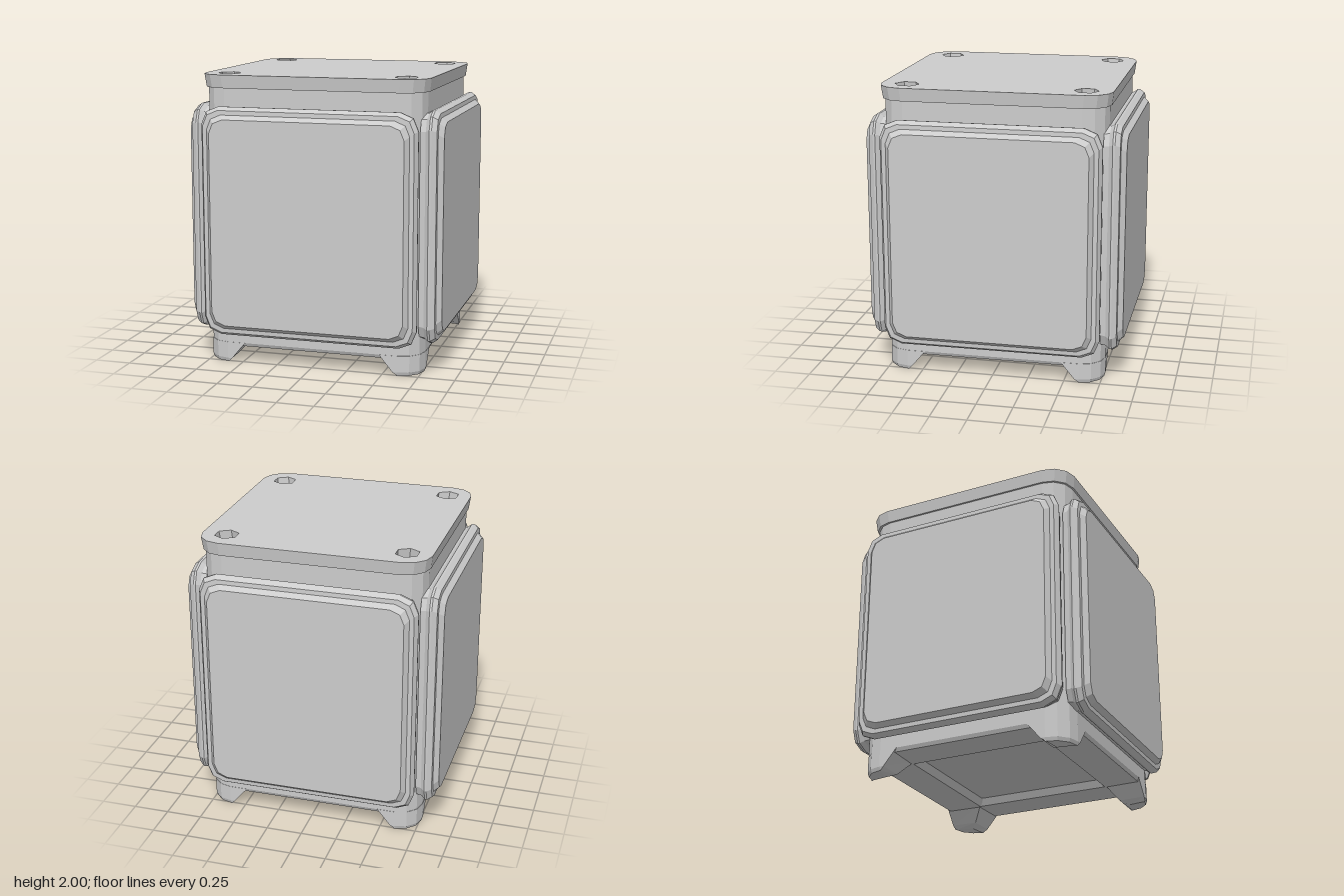
import * as THREE from 'three';

const metal = new THREE.MeshStandardMaterial({ color: 0xcccccc });
metal.name = 'lightGrey';

// Outline of a rectangle with faceted round corners, counter-clockwise
function roundedRect(w, h, r, segs) {
  const pts = [];
  [[1, 1], [-1, 1], [-1, -1], [1, -1]].forEach(([sx, sy], q) => {
    for (let i = 0; i <= segs; i++) {
      const a = (q + i / segs) * Math.PI / 2;
      pts.push([sx * (w - r) + r * Math.cos(a), sy * (h - r) + r * Math.sin(a)]);
    }
  });
  return pts;
}

// Skins a stack of outlines along z, closes both ends and gives flat faces
function loft(levels) {
  const pos = [];
  const rings = levels.map(([pts, z]) => pts.map(([x, y]) => [x, y, z]));
  const n = rings[0].length;
  const centre = ring => ring.reduce((s, p) => s.map((v, k) => v + p[k] / n), [0, 0, 0]);
  const first = rings[0], last = rings[rings.length - 1];
  const c0 = centre(first), c1 = centre(last);
  for (let i = 0; i < n; i++) {
    const j = (i + 1) % n;
    for (let k = 0; k + 1 < rings.length; k++) {
      const a = rings[k], b = rings[k + 1];
      pos.push(...a[i], ...a[j], ...b[j], ...a[i], ...b[j], ...b[i]);
    }
    pos.push(...c0, ...first[j], ...first[i], ...c1, ...last[i], ...last[j]);
  }
  const g = new THREE.BufferGeometry();
  g.setAttribute('position', new THREE.Float32BufferAttribute(pos, 3));
  g.computeVertexNormals();
  return g;
}

export function createModel() {
  const model = new THREE.Group();
  model.name = 'crate';
  const add = (name, geo) => {
    const mesh = new THREE.Mesh(geo, metal);
    mesh.name = name;
    model.add(mesh);
    return mesh;
  };

  // Core box with a shallow recess underneath
  const square = (s, r) => roundedRect(s, s, r, 3);
  add('body', loft([
    [square(0.47, 0.01), 0.165],
    [square(0.5, 0.01), 0.115],
    [square(0.752, 0.15), 0.115],
    [square(0.765, 0.16), 0.14],
    [square(0.765, 0.16), 1.925],
  ]).rotateX(-Math.PI / 2));

  // Lid with four hexagonal bolt holes, narrowing towards its underside
  const lidShape = new THREE.Shape(square(0.79, 0.17).map(p => new THREE.Vector2(...p)));
  for (const sx of [-1, 1]) for (const sy of [-1, 1]) {
    const hex = [];
    for (let i = 0; i < 6; i++) {
      const a = Math.PI / 6 + i * Math.PI / 3;
      hex.push(new THREE.Vector2(sx * 0.62 + 0.083 * Math.cos(a), sy * 0.61 + 0.083 * Math.sin(a)));
    }
    lidShape.holes.push(new THREE.Path(hex));
  }
  const lid = new THREE.ExtrudeGeometry(lidShape, { depth: 0.09, bevelEnabled: false });
  const p = lid.attributes.position;
  for (let i = 0; i < p.count; i++) {
    if (p.getZ(i) < 0.01) p.setXY(i, p.getX(i) * 0.985, p.getY(i) * 0.985);
  }
  lid.computeVertexNormals();
  add('lid', lid.rotateX(-Math.PI / 2).translate(0, 1.91, 0));

  // Stepped, bevelled panel on each side
  const plate = (w, h, r) => roundedRect(w, h, r, 2);
  const panel = loft([
    [plate(0.725, 0.765, 0.11), 0.74],
    [plate(0.73, 0.77, 0.11), 0.778],
    [plate(0.75, 0.79, 0.12), 0.805],
    [plate(0.75, 0.79, 0.12), 0.82],
    [plate(0.73, 0.768, 0.11), 0.853],
    [plate(0.7, 0.738, 0.1), 0.855],
    [plate(0.672, 0.71, 0.095), 0.89],
  ]).translate(0, 1, 0);

  // Corner foot: rounded outside, sloping in on the inner sides
  const footRing = (o, r, edge, inner) => [
    [o, edge], ...roundedRect(o, o, r, 3).slice(0, 4), [edge, o], [inner, inner],
  ];
  const foot = loft([
    [footRing(0.76, 0.16, 0.61, 0.63), 0],
    [footRing(0.767, 0.16, 0.575, 0.58), 0.025],
    [footRing(0.767, 0.16, 0.48, 0.49), 0.14],
  ]).rotateX(-Math.PI / 2);

  ['front', 'left', 'back', 'right'].forEach((side, i) => {
    add(side + 'Panel', panel).rotation.y = i * Math.PI / 2;
    add('foot' + (i + 1), foot).rotation.y = i * Math.PI / 2;
  });
  return model;
}
